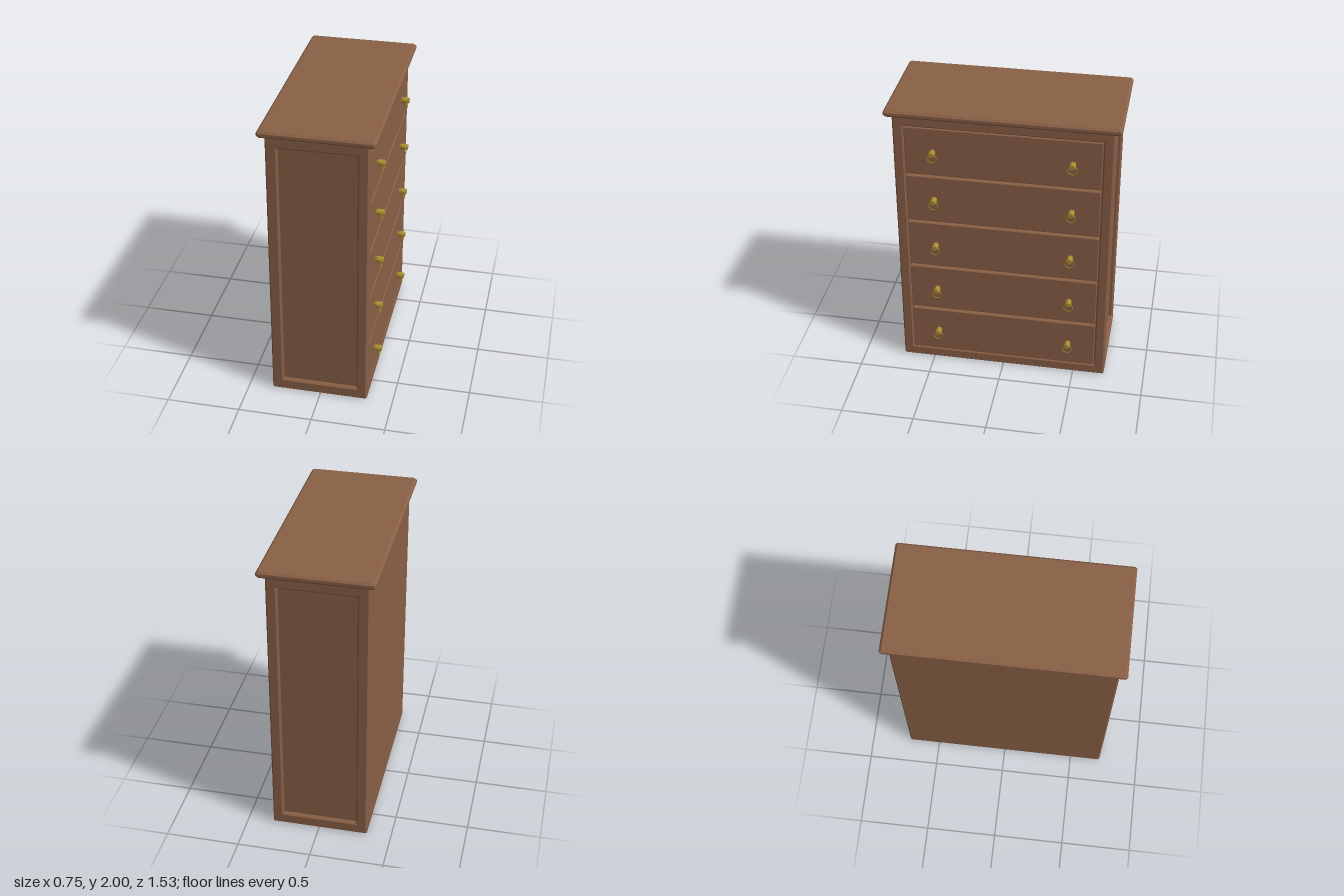
import * as THREE from 'three';
import { toCreasedNormals } from 'three/addons/utils/BufferGeometryUtils.js';

const wood = new THREE.MeshStandardMaterial({ color: 0x8a6046 });
wood.name = 'brown wood';
const brass = new THREE.MeshStandardMaterial({ color: 0xa88c30 });
brass.name = 'brass';

// rectangle with cut corners, as an outline
function cutRect(x0, y0, x1, y1, c) {
  return [
    [x0 + c, y0], [x1 - c, y0], [x1, y0 + c], [x1, y1 - c],
    [x1 - c, y1], [x0 + c, y1], [x0, y1 - c], [x0, y0 + c],
  ].map(([x, y]) => new THREE.Vector2(x, y));
}

// chamfered slab from z = 0 to z = depth, with an optional rectangular opening
function slab(outline, depth, bevel, hole) {
  const shape = new THREE.Shape(outline);
  if (hole) {
    const [x0, y0, x1, y1] = hole;
    shape.holes.push(new THREE.Path([
      new THREE.Vector2(x0, y0), new THREE.Vector2(x0, y1),
      new THREE.Vector2(x1, y1), new THREE.Vector2(x1, y0),
    ]));
  }
  return new THREE.ExtrudeGeometry(shape, {
    depth: depth - 2 * bevel, bevelEnabled: bevel > 0, bevelThickness: bevel,
    bevelSize: bevel, bevelOffset: -bevel, bevelSegments: 1,
  }).translate(0, 0, bevel);
}

export function createModel() {
  const model = new THREE.Group();
  model.name = 'chestOfDrawers';
  const add = (name, geometry, material = wood, parent = model) => {
    const mesh = new THREE.Mesh(geometry, material);
    mesh.name = name;
    parent.add(mesh);
    return mesh;
  };

  const back = -0.335, front = 0.323, half = 0.72, height = 1.945, c = 0.01;

  // carcass between the framed faces, cut along its rear edges
  const core = new THREE.Shape([
    [back + c, 0], [0.295, 0], [0.295, height], [back + c, height],
    [back, height - c], [back, c],
  ].map(([x, y]) => new THREE.Vector2(x, y)));
  add('carcass', new THREE.ExtrudeGeometry(core, { depth: 1.384, bevelEnabled: false })
    .translate(0, 0, -0.692));

  // panelled ends
  for (const side of [1, -1]) {
    const end = slab(cutRect(back, 0, front, height, c), 0.04, c, [-0.258, 0.082, 0.25, 1.87]);
    end.translate(0, 0, side > 0 ? half - 0.04 : -half);
    add(side > 0 ? 'leftEndFrame' : 'rightEndFrame', end);
  }

  // frame around the drawers
  add('drawerFrame', slab(cutRect(-half, 0, half, height, c), 0.04, c,
    [-0.648, 0.077, 0.648, 1.873]).rotateY(Math.PI / 2).translate(front - 0.04, 0, 0));

  // neck and overhanging top
  add('neck', new THREE.BoxGeometry(0.63, 0.03, 1.41).translate(-0.005, 1.95, 0));
  add('top', slab(cutRect(-0.377, -0.765, 0.37, 0.765, 0.012), 0.047, 0.014)
    .rotateX(-Math.PI / 2).translate(0, 1.953, 0));

  // drawers, each with two knobs and drop rings
  const knobProfile = [
    [0, 0], [0.018, 0], [0.018, 0.008], [0.021, 0.01], [0.021, 0.046], [0.017, 0.054], [0, 0.054],
  ].map(([r, y]) => new THREE.Vector2(r, y));
  const knobGeometry = toCreasedNormals(new THREE.LatheGeometry(knobProfile, 20), 0.6)
    .rotateZ(-Math.PI / 2);
  const ringGeometry = new THREE.TorusGeometry(0.031, 0.003, 8, 28).rotateY(Math.PI / 2);
  const drawerGeometry = slab(cutRect(-0.645, -0.171, 0.645, 0.171, 0.003), 0.04, 0.004)
    .rotateY(Math.PI / 2).translate(front - 0.04, 0, 0);

  for (let i = 0; i < 5; i++) {
    const drawer = new THREE.Group();
    drawer.name = 'drawer' + (i + 1);
    drawer.position.y = 0.25 + i * 0.3625;
    model.add(drawer);
    add('drawerFront', drawerGeometry, wood, drawer);
    for (const z of [0.458, -0.458]) {
      add('knob', knobGeometry, brass, drawer).position.set(front, 0.004, z);
      add('dropRing', ringGeometry, brass, drawer).position.set(0.362, -0.023, z);
    }
  }
  return model;
}
